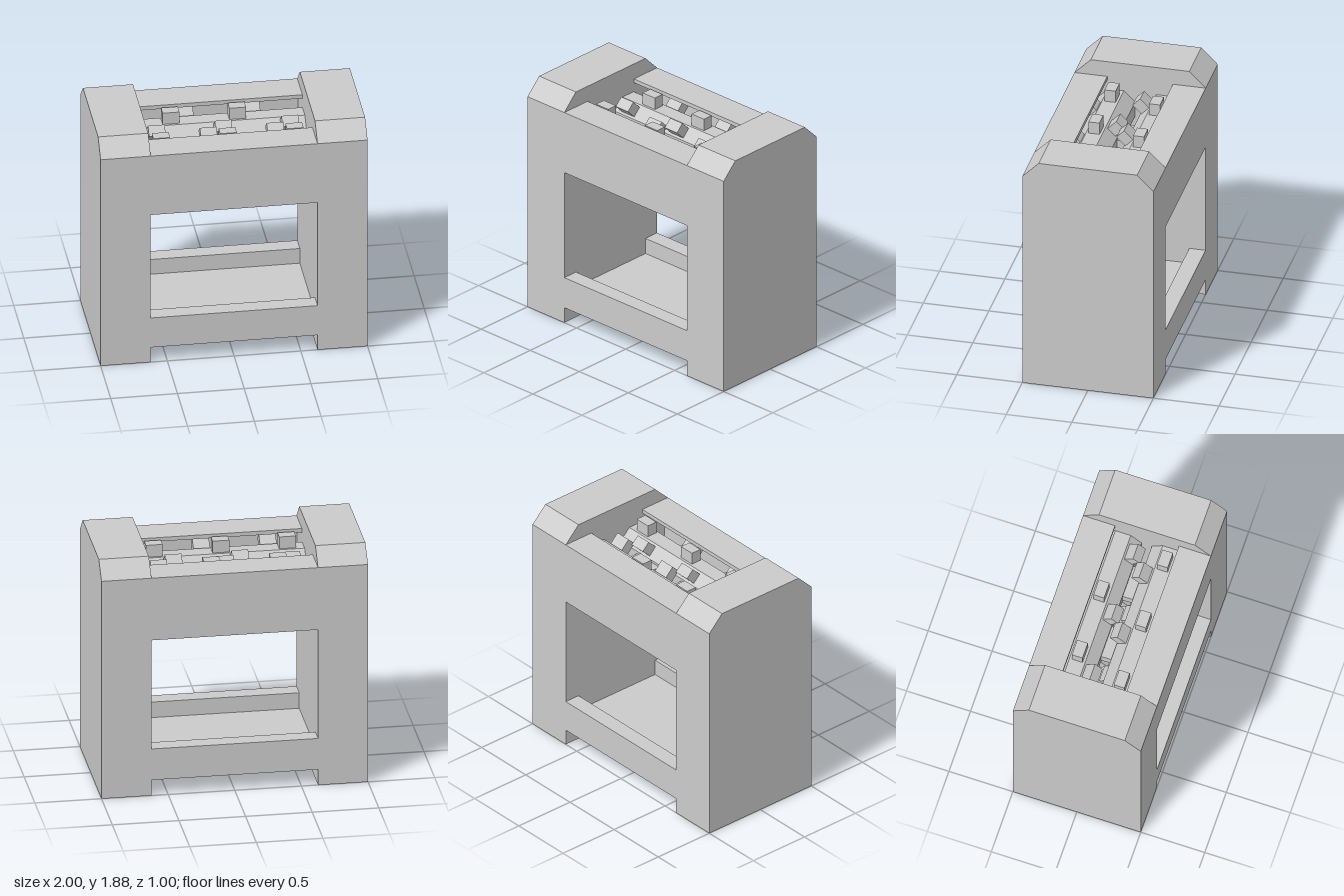
import * as THREE from 'three';

const material = new THREE.MeshStandardMaterial({ color: 0xcccccc, flatShading: true });

function add(parent, name, geometry, x = 0, y = 0, z = 0) {
  const mesh = new THREE.Mesh(geometry, material);
  mesh.name = name;
  mesh.position.set(x, y, z);
  parent.add(mesh);
  return mesh;
}

// Box given by its lower and upper limits in y and z, spanning the gap between the towers
function span(parent, name, y0, y1, z0, z1) {
  add(parent, name, new THREE.BoxGeometry(1.25, y1 - y0, Math.abs(z1 - z0)), 0, (y0 + y1) / 2, (z0 + z1) / 2);
}

// Octagonal drum along x with teeth stepping helically around it
function roller(name, z, phaseAt) {
  const group = new THREE.Group();
  group.name = name;
  group.position.set(0, 1.5, z);

  const drum = new THREE.CylinderGeometry(0.157, 0.157, 1.25, 8, 1, false, Math.PI / 8);
  drum.rotateZ(Math.PI / 2);
  add(group, 'drum', drum);

  const tooth = new THREE.BoxGeometry(0.125, 0.11, 0.083);
  tooth.translate(0, 0.185, 0);
  for (let side = 0; side < 8; side++) {
    const phase = (phaseAt(side) + 8) % 4;
    for (let column = phase; column < 9; column += 4) {
      add(group, 'tooth', tooth, -0.5 + column * 0.125).rotation.x = side * Math.PI / 4;
    }
  }
  return group;
}

export function createModel() {
  const model = new THREE.Group();
  model.name = 'rollerCrusher';

  // Side towers with chamfered tops
  const profile = new THREE.Shape([
    [-0.5, 0], [0.5, 0], [0.5, 1.75], [0.375, 1.875], [-0.375, 1.875], [-0.5, 1.75],
  ].map(([x, y]) => new THREE.Vector2(x, y)));
  const tower = new THREE.ExtrudeGeometry(profile, { depth: 0.375, bevelEnabled: false });
  tower.translate(0, 0, -0.1875);
  tower.rotateY(Math.PI / 2);
  add(model, 'leftTower', tower, 0.8125);
  add(model, 'rightTower', tower, -0.8125);

  // Bottom tray
  span(model, 'trayFloor', 0.125, 0.25, -0.5, 0.5);

  // Tray rails and roller housing, front and back
  for (const [label, s] of [['front', 1], ['back', -1]]) {
    span(model, label + 'TrayRail', 0.25, 0.375, s * 0.375, s * 0.5);
    span(model, label + 'HousingWall', 1.25, 1.75, s * 0.469, s * 0.5);
    span(model, label + 'HousingCover', 1.719, 1.75, s * 0.25, s * 0.469);
  }

  // Pair of toothed rollers with interleaved teeth
  model.add(roller('frontRoller', 0.183, (side) => side));
  model.add(roller('backRoller', -0.187, (side) => 1 - side));

  return model;
}
